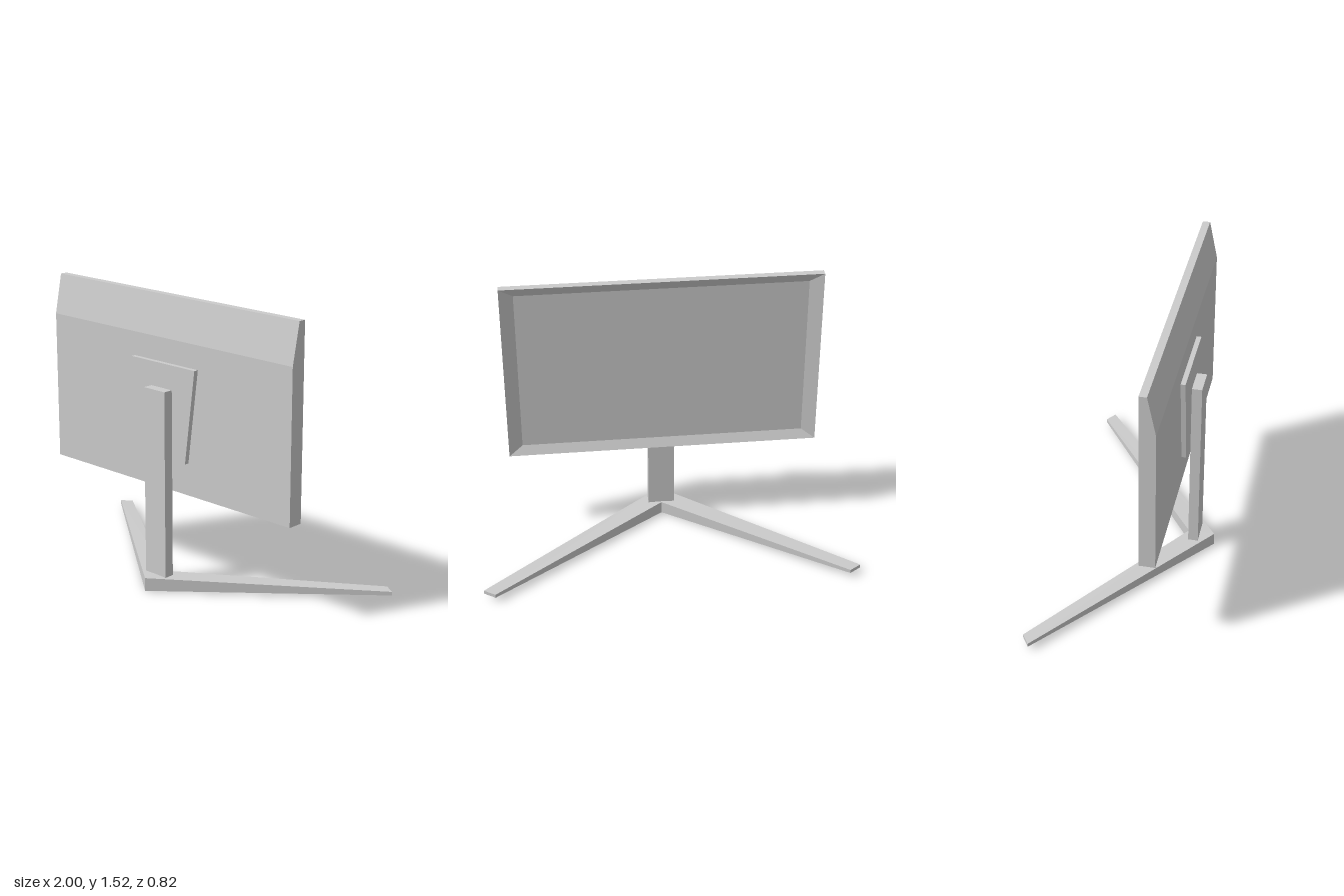
import * as THREE from 'three';

const material = new THREE.MeshStandardMaterial({ color: 0xcccccc, flatShading: true });

// Closed solid through rings of four corners, each ring counter-clockwise seen from the first end
function loft(rings) {
  const pos = [];
  const quad = (a, b, c, d) => [a, b, c, a, c, d].forEach((p) => pos.push(...p));
  for (let i = 0; i < rings.length - 1; i++) {
    for (let j = 0; j < 4; j++) {
      const k = (j + 1) % 4;
      quad(rings[i][j], rings[i + 1][j], rings[i + 1][k], rings[i][k]);
    }
  }
  const last = rings[rings.length - 1];
  quad(...rings[0]);
  quad(last[3], last[2], last[1], last[0]);
  const geometry = new THREE.BufferGeometry();
  geometry.setAttribute('position', new THREE.Float32BufferAttribute(pos, 3));
  geometry.computeVertexNormals();
  return geometry;
}

// Upright trapezoid at depth z
const panelRing = (z, bottom, top, halfBottom, halfTop = halfBottom) => [
  [-halfBottom, bottom, z], [halfBottom, bottom, z], [halfTop, top, z], [-halfTop, top, z],
];

// Cross-section of the foot between an outer and an inner corner
const footRing = (xOuter, zOuter, xInner, zInner, bottom, top) => [
  [xOuter, bottom, zOuter], [xInner, bottom, zInner], [xInner, top, zInner], [xOuter, top, zOuter],
];

export function createModel() {
  const group = new THREE.Group();
  const add = (name, geometry) => {
    const mesh = new THREE.Mesh(geometry, material);
    mesh.name = name;
    group.add(mesh);
    return mesh;
  };

  // Housing with a sloped upper edge on one face and a shallow recessed display on the other
  add('screen', loft([
    panelRing(0.245, 0.52, 1.315, 0.828),
    panelRing(0.202, 0.52, 1.525, 0.828),
    panelRing(0.163, 0.52, 1.525, 0.828),
    panelRing(0.188, 0.57, 1.475, 0.755),
  ]));

  // Tapered mounting plate
  add('mountPlate', loft([
    panelRing(0.27, 0.692, 1.19, 0.156, 0.222),
    panelRing(0.245, 0.692, 1.19, 0.156, 0.222),
  ]));

  // Column
  add('column', new THREE.BoxGeometry(0.144, 0.997, 0.053)).position.set(0, 0.5665, 0.303);

  // V-shaped foot, thinning towards both tips
  add('foot', loft([
    footRing(1, -0.37, 0.94, -0.41, 0.028, 0.048),
    footRing(0, 0.408, 0, 0.268, 0, 0.071),
    footRing(-1, -0.37, -0.94, -0.41, 0.028, 0.048),
  ]));

  return group;
}
